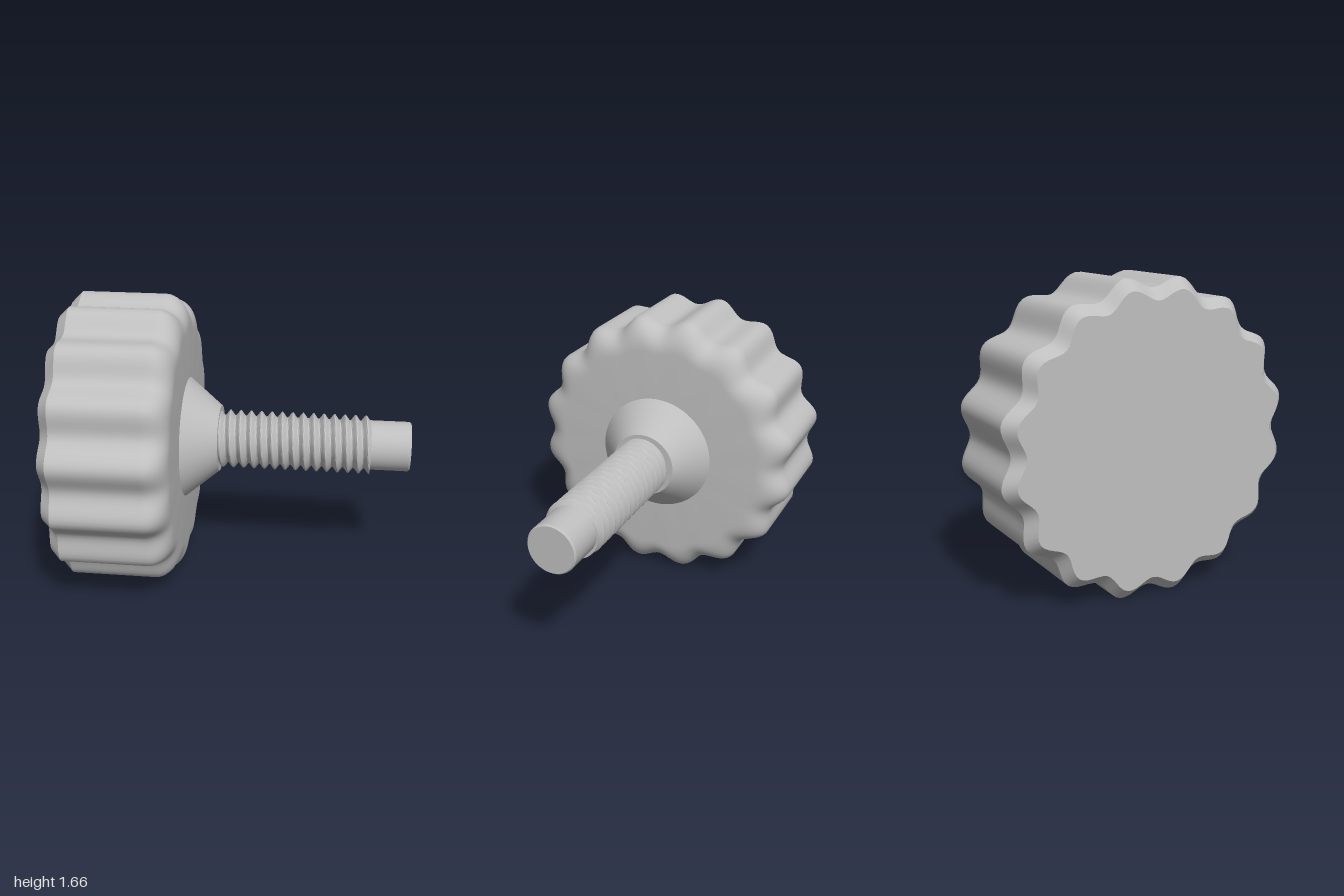
import * as THREE from 'three';
import { toCreasedNormals } from 'three/addons/utils/BufferGeometryUtils.js';

const AXIS_Y = 0.83;

// Surface around the x axis; each row is [x, radius or radius function of angle and x].
function sweep(rows, segs, crease) {
  const pos = [], index = [];
  for (const [x, r] of rows) {
    for (let j = 0; j < segs; j++) {
      const a = (j / segs) * Math.PI * 2;
      const rad = typeof r === 'function' ? r(a, x) : r;
      pos.push(x, AXIS_Y + rad * Math.cos(a), rad * Math.sin(a));
    }
  }
  for (let i = 0; i < rows.length - 1; i++) {
    for (let j = 0; j < segs; j++) {
      const k = (j + 1) % segs;
      const a = i * segs + j, b = i * segs + k, c = a + segs, d = b + segs;
      if (rows[i][1] !== 0) index.push(a, b, c);
      if (rows[i + 1][1] !== 0) index.push(b, d, c);
    }
  }
  const g = new THREE.BufferGeometry();
  g.setAttribute('position', new THREE.Float32BufferAttribute(pos, 3));
  g.setIndex(index);
  return toCreasedNormals(g, crease);
}

export function createModel() {
  const group = new THREE.Group();
  const grey = new THREE.MeshStandardMaterial({ color: 0xbfbfbf });
  grey.name = 'grey';
  const add = (name, geometry) => {
    const mesh = new THREE.Mesh(geometry, grey);
    mesh.name = name;
    group.add(mesh);
  };

  // Grip: sixteen lobes, chamfered at the back and rounded towards the shaft
  const lobed = (inset, fade = 1) => (a) =>
    0.78 - inset + 0.065 * fade * (1 - Math.cos(16 * a)) / 2;
  const grip = [[-1, 0], [-1, lobed(0.06)], [-0.94, lobed(0)]];
  const R = 0.14;
  for (let i = 0; i <= 10; i++) {
    const t = (i / 10) * Math.PI / 2;
    const inset = R * (1 - Math.cos(t));
    grip.push([-0.31 - R + R * Math.sin(t), lobed(inset, 1 - 0.7 * inset / R)]);
  }
  grip.push([-0.31, 0]);
  add('grip', sweep(grip, 192, 0.6));

  // Conical collar
  add('collar', sweep([[-0.32, 0.355], [-0.31, 0.355], [-0.115, 0.195], [-0.115, 0]], 64, 0.5));

  // Helical thread with V-shaped ridges
  const pitch = 0.0615, start = -0.12, end = 0.77;
  const ridge = (a, x) => {
    const u = (x - start) / pitch - a / (Math.PI * 2);
    const f = Math.abs((u - Math.floor(u)) * 2 - 1);
    return 0.14 + 0.032 * Math.min(1, Math.max(0, f * 1.3 - 0.15));
  };
  const thread = [];
  const steps = 150;
  for (let i = 0; i <= steps; i++) thread.push([start + (end - start) * i / steps, ridge]);
  thread.push([end, 0]);
  add('thread', sweep(thread, 60, 0.6));

  // Plain tip with a fine bevel
  add('tip', sweep([[0.76, 0.145], [0.99, 0.145], [1, 0.137], [1, 0]], 64, 0.5));

  return group;
}
